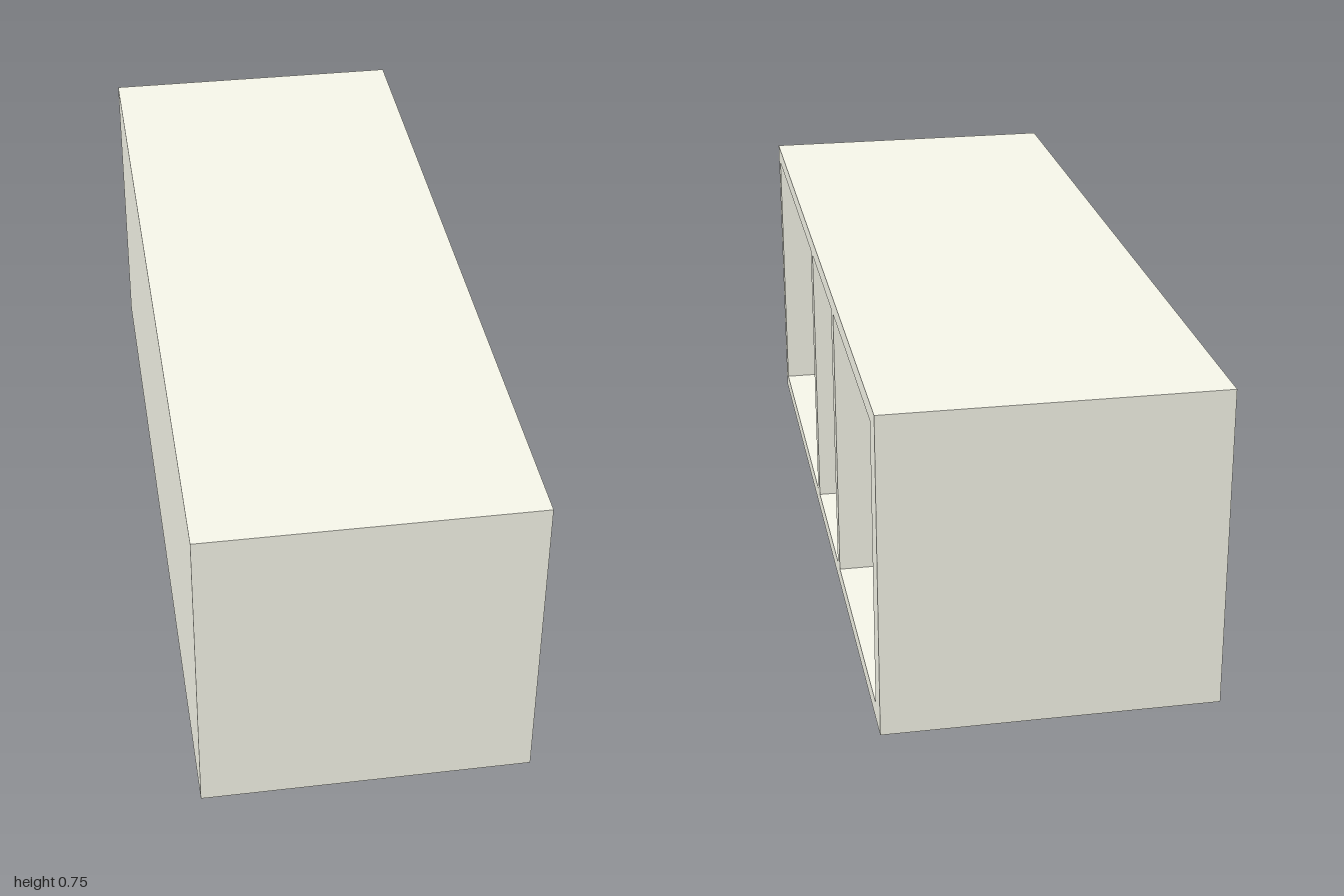
import * as THREE from 'three';

const W = 0.756, H = 0.746, L = 2, T = 0.04; // width (x), height (y), length (z), board thickness

export function createModel() {
  const group = new THREE.Group();
  group.name = 'shelfUnit';
  const material = new THREE.MeshStandardMaterial({ color: 0xfafaed });

  const rect = (path, x0, x1, y0, y1) =>
    path.moveTo(x0, y0).lineTo(x1, y0).lineTo(x1, y1).lineTo(x0, y1).closePath();

  // Frame with dividers: drawn in the side plane (shape x = -z), one hole per compartment
  const outline = rect(new THREE.Shape(), -L / 2, L / 2, 0, H);
  const compartments = [[-0.96, -0.165], [-0.125, 0.264], [0.304, 0.933]];
  for (const [a, b] of compartments) {
    outline.holes.push(rect(new THREE.Path(), a, b, T, H - T));
  }
  const frameGeometry = new THREE.ExtrudeGeometry(outline, { depth: W - T, bevelEnabled: false });
  frameGeometry.rotateY(Math.PI / 2).translate(-W / 2 + T, 0, 0);
  const frame = new THREE.Mesh(frameGeometry, material);
  frame.name = 'frameWithDividers';
  group.add(frame);

  // Closed panel behind the compartments
  const backPanel = new THREE.Mesh(new THREE.BoxGeometry(T, H, L), material);
  backPanel.name = 'backPanel';
  backPanel.position.set(-W / 2 + T / 2, H / 2, 0);
  group.add(backPanel);

  return group;
}
